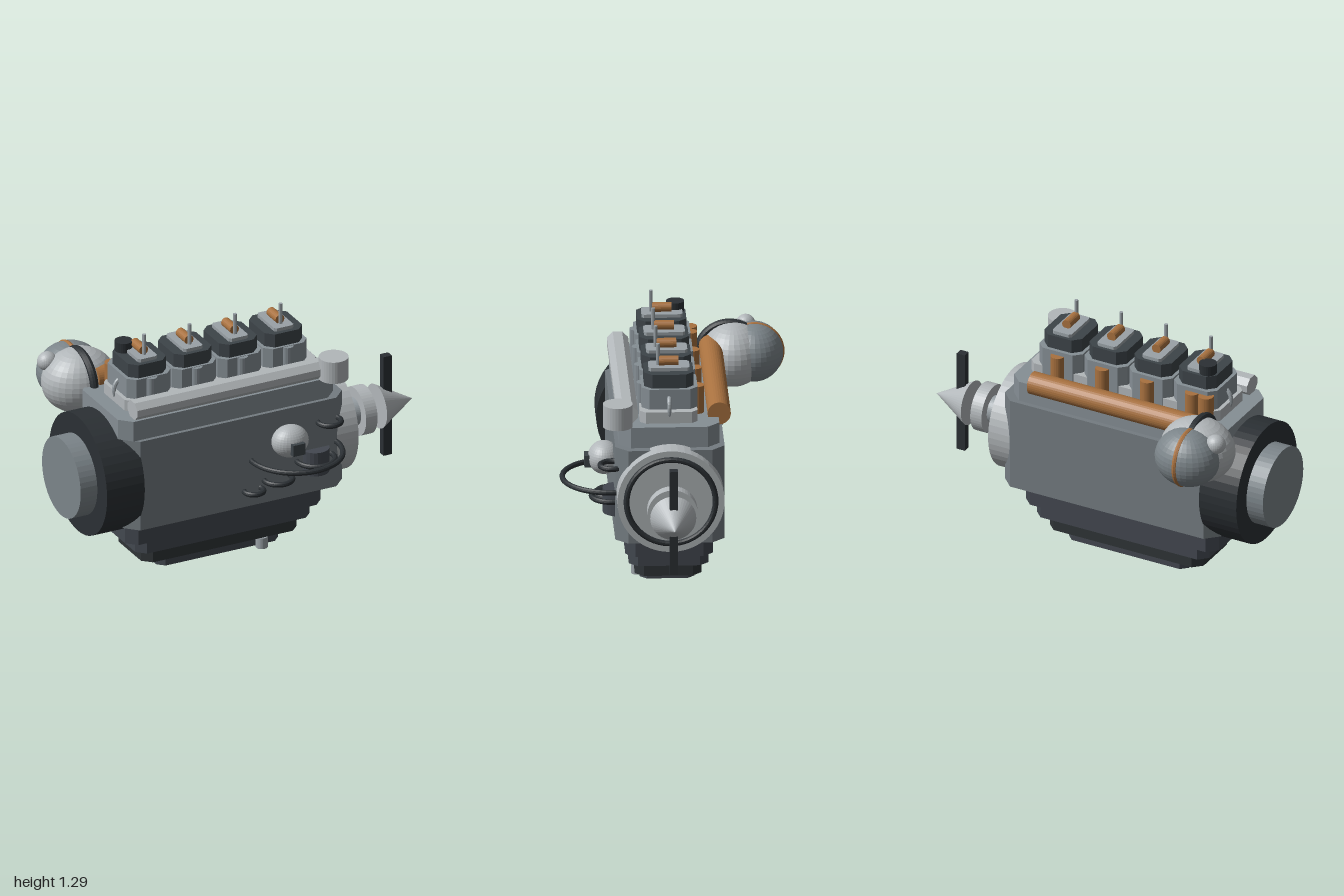
import * as THREE from 'three';

const COLORS = {
  block: 0x747c81, deck: 0x868f95, light: 0xb2b7ba, mid: 0x7c858a, steel: 0x9aa2a7,
  pan: 0x434850, panDark: 0x2f3437, dark: 0x2b3034, cap: 0x3d4449, bronze: 0xa8713f,
};
const MATS = {};
for (const key in COLORS) {
  MATS[key] = new THREE.MeshStandardMaterial({ color: COLORS[key], flatShading: true });
}

const CZ = 0.038;   // crank axis z
const CY = 0.563;   // crank axis y

export function createModel() {
  const model = new THREE.Group();

  function add(name, geometry, mat, x = 0, y = 0, z = 0, parent = model) {
    const mesh = new THREE.Mesh(geometry, MATS[mat]);
    mesh.name = name;
    mesh.position.set(x, y, z);
    parent.add(mesh);
    return mesh;
  }

  // Rectangle with cut corners, centred on the origin
  function cutRect(w, h, c) {
    const a = w / 2, b = h / 2;
    return new THREE.Shape([
      [-a + c, -b], [a - c, -b], [a, -b + c], [a, b - c],
      [a - c, b], [-a + c, b], [-a, b - c], [-a, -b + c],
    ].map(([x, y]) => new THREE.Vector2(x, y)));
  }

  // Upright block with chamfered vertical edges, given by its bounds
  function slab(name, mat, x0, x1, y0, y1, z0, z1, chamfer, parent = model) {
    const geometry = new THREE.ExtrudeGeometry(cutRect(x1 - x0, z1 - z0, chamfer), {
      depth: y1 - y0, bevelEnabled: false,
    });
    geometry.rotateX(-Math.PI / 2);
    return add(name, geometry, mat, (x0 + x1) / 2, y0, (z0 + z1) / 2, parent);
  }

  // Cylinder or cone lying along x, from x0 to x1
  function axle(name, mat, x0, x1, r0, r1, y = CY, z = CZ, sides = 48) {
    const geometry = new THREE.CylinderGeometry(r1, r0, x1 - x0, sides);
    geometry.rotateZ(-Math.PI / 2);
    return add(name, geometry, mat, (x0 + x1) / 2, y, z);
  }

  // Upright cylinder from y0 to y1
  function post(name, mat, x, y0, y1, z, r, parent = model, sides = 24) {
    return add(name, new THREE.CylinderGeometry(r, r, y1 - y0, sides), mat, x, (y0 + y1) / 2, z, parent);
  }

  function ball(name, mat, x, y, z, rx, ry, rz) {
    return add(name, new THREE.SphereGeometry(1, 32, 20).scale(rx, ry, rz), mat, x, y, z);
  }

  // Engine block and deck
  slab('engineBlock', 'block', -0.757, 0.49, 0.315, 0.815, -0.24, 0.315, 0.065);
  slab('deck', 'deck', -0.78, 0.447, 0.815, 0.925, -0.215, 0.295, 0.06);
  slab('headPlate', 'light', -0.7, 0.39, 0.925, 0.985, -0.105, 0.187, 0.03);

  // Stepped oil pan
  slab('oilPanTop', 'pan', -0.725, 0.39, 0.205, 0.315, -0.185, 0.26, 0.05);
  slab('oilPanUpper', 'pan', -0.66, 0.335, 0.135, 0.205, -0.165, 0.24, 0.045);
  slab('oilPanLower', 'panDark', -0.61, 0.278, 0.06, 0.135, -0.132, 0.207, 0.045);
  slab('oilPanBase', 'pan', -0.513, 0.18, 0.01, 0.06, -0.1, 0.178, 0.035);
  post('drainPlug', 'steel', 0.065, 0, 0.06, 0.188, 0.031);

  // Flywheel end
  axle('flywheel', 'dark', -0.905, -0.69, 0.322, 0.322);
  axle('clutchDisc', 'mid', -1, -0.9, 0.214, 0.214);

  // Nose end: flange, pulley, spinner cone and blade
  axle('frontFlange', 'light', 0.40, 0.555, 0.272, 0.272);
  add('flangeSeal', new THREE.TorusGeometry(0.226, 0.015, 10, 48).rotateY(Math.PI / 2), 'dark', 0.555, CY, CZ);
  axle('noseShaft', 'steel', 0.55, 0.68, 0.072, 0.072);
  axle('pulley', 'light', 0.672, 0.737, 0.128, 0.128);
  axle('spinner', 'light', 0.797, 1, 0.117, 0);
  add('fanBlade', new THREE.BoxGeometry(0.047, 0.556, 0.042), 'dark', 0.85, CY, CZ);

  // Front side rail with octagonal section
  const rail = new THREE.ExtrudeGeometry(cutRect(0.108, 0.096, 0.03), { depth: 1.08, bevelEnabled: false });
  rail.rotateY(Math.PI / 2);
  add('sideRail', rail, 'light', -0.705, 0.97, 0.252);
  post('filler', 'light', 0.416, 0.925, 1.045, 0.302, 0.076, model, 32);

  // Lifting eyes at both ends of the head
  for (const x of [-0.66, 0.345]) {
    add('liftingEye', new THREE.TorusGeometry(0.04, 0.011, 8, 24).scale(1, 1.35, 1), 'steel', x, 0.99, CZ);
  }

  // Four cylinder heads
  [-0.555, -0.296, -0.037, 0.222].forEach((x) => {
    const head = new THREE.Group();
    head.name = 'cylinderHead';
    head.position.x = x;
    model.add(head);
    slab('headBase', 'deck', -0.125, 0.125, 0.925, 1.092, -0.108, 0.176, 0.038, head);
    slab('headCap', 'cap', -0.108, 0.108, 1.09, 1.165, -0.088, 0.162, 0.04, head);
    slab('capPlate', 'steel', -0.055, 0.055, 1.165, 1.183, -0.07, 0.138, 0.012, head);
    const coil = new THREE.CylinderGeometry(0.025, 0.025, 0.1, 20).rotateX(Math.PI / 2);
    add('coil', coil, 'bronze', 0, 1.203, 0.035, head);
    post('plugPin', 'steel', 0, 1.18, 1.295, 0.09, 0.01, head, 10);
    post('pushRodTube', 'deck', 0, 0.925, 1.09, 0.168, 0.031, head, 16);
    post('exhaustStub', 'bronze', 0, 0.925, 1.07, -0.108, 0.037, head);
  });
  post('endExhaustStub', 'bronze', -0.635, 0.925, 1.07, -0.108, 0.04);
  post('oilCap', 'dark', -0.607, 1.15, 1.218, -0.036, 0.046);

  // Exhaust manifold feeding the turbo
  axle('manifold', 'bronze', -0.68, 0.308, 0.059, 0.059, 0.944, -0.218, 32);
  ball('turboHousing', 'light', -0.71, 0.893, -0.333, 0.198, 0.17, 0.17);
  ball('turboCompressor', 'mid', -0.71, 0.899, -0.44, 0.173, 0.152, 0.15);
  add('turboBand', new THREE.TorusGeometry(0.142, 0.015, 8, 48).rotateY(Math.PI / 2), 'bronze', -0.71, 0.899, -0.439);
  add('turboHose', new THREE.TorusGeometry(0.158, 0.022, 10, 32, Math.PI).rotateY(Math.PI / 2), 'dark', -0.71, 0.897, -0.315);
  ball('wastegate', 'light', -0.853, 0.995, -0.405, 0.052, 0.05, 0.05);
  axle('wastegateStem', 'steel', -0.85, -0.74, 0.026, 0.026, 0.995, -0.4, 16);

  // Front accessories: pump, starter and hose loops
  ball('pump', 'light', 0.138, 0.656, 0.36, 0.098, 0.085, 0.082);
  add('pumpFitting', new THREE.BoxGeometry(0.07, 0.062, 0.06), 'cap', 0.14, 0.645, 0.43);
  post('oilFilter', 'pan', 0.31, 0.425, 0.556, 0.298, 0.076);
  // x, y, ring radius
  const loops = [
    [0.182, 0.568, 0.243], [0.378, 0.7, 0.06], [0.298, 0.507, 0.1],
    [0.085, 0.441, 0.074], [-0.053, 0.404, 0.05],
  ];
  loops.forEach(([x, y, r]) => {
    add('hoseLoop', new THREE.TorusGeometry(r, 0.014, 10, 48).rotateX(Math.PI / 2), 'dark', x, y, 0.33);
  });

  return model;
}
